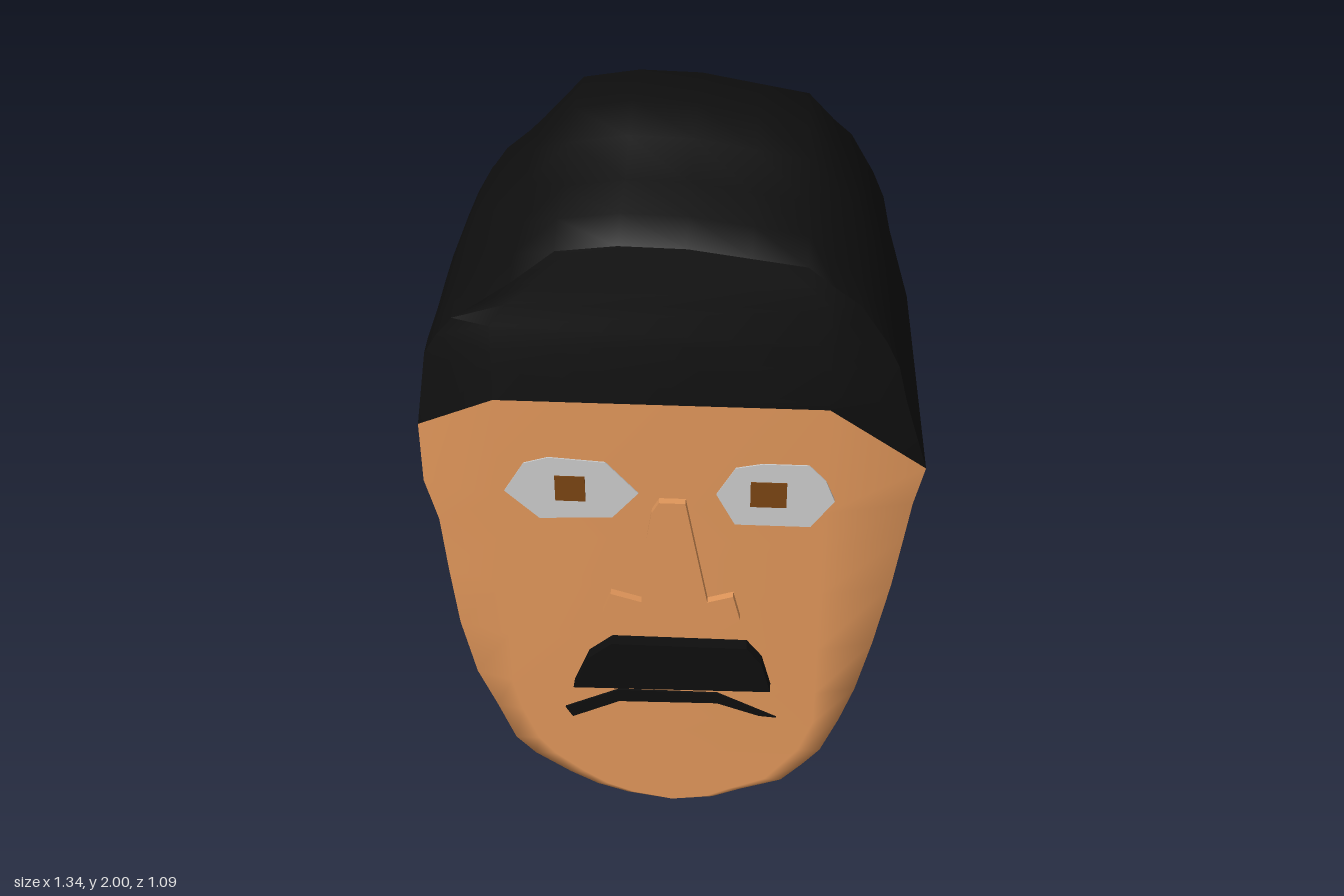
import * as THREE from 'three';
import { toCreasedNormals } from 'three/addons/utils/BufferGeometryUtils.js';

const SKIN = 0xe0965a, BLACK = 0x0e0e0e;
const mat = (color) => new THREE.MeshStandardMaterial({ color, roughness: 0.9 });

// depth positions along each side, with the crown height factor at each one
const SIDE = [[0.38, 0.78], [0.24, 0.82], [0.11, 0.93], [-0.02, 1], [-0.28, 0.97], [-0.4, 0.85]];
const HAIRLINE = 1.395;
const clamp = THREE.MathUtils.clamp;
const crown = (y, k) => (y > HAIRLINE ? HAIRLINE + (y - HAIRLINE) * k : y);

// front and back faces: flat in the middle, swept back toward the sides, tilted over the hair
function frontZ(x, y) {
  const over = x < 0 ? Math.max(0, -x - 0.455) / 0.215 : Math.max(0, x - 0.405) / 0.26;
  return 0.507 - 0.068 * over - 0.048 * clamp((y - 1.4) / 0.42, 0, 1);
}
function backZ(x, y) {
  return -0.545 + 0.045 * Math.max(0, x - 0.405) / 0.26 + 0.03 * clamp((y - 1.68) / 0.1, 0, 1);
}

// one horizontal ring; row = [left x, left y, right x, right y, optional middle y]
function ring([xl, yl, xr, yr, mid]) {
  const il = Math.max(-0.455, xl * 0.85), ir = Math.min(0.405, xr * 0.85);
  const yAt = (x) => mid ?? (xr - xl < 1e-4 ? yl : yl + (yr - yl) * (x - xl) / (xr - xl));
  const across = [[xl, yl], [il, yAt(il)], [ir, yAt(ir)], [xr, yr]];
  const front = across.map(([x, y]) => [x, crown(y, 0.7), frontZ(x, crown(y, 0.7))]);
  const back = across.map(([x, y]) => [x, crown(y, 0.77), backZ(x, crown(y, 0.77))]).reverse();
  const right = SIDE.map(([z, k]) => [xr, crown(yr, k), z]);
  const left = SIDE.map(([z, k]) => [xl, crown(yl, k), z]).reverse();
  return [...front, ...right, ...back, ...left];
}

// skin over rings listed from bottom to top
function loft(rows) {
  const rings = rows.map(ring), n = rings[0].length, index = [];
  for (let i = 0; i < rings.length - 1; i++) {
    for (let j = 0; j < n; j++) {
      const a = i * n + j, b = i * n + (j + 1) % n;
      index.push(a, b, b + n, a, b + n, a + n);
    }
  }
  const g = new THREE.BufferGeometry();
  g.setAttribute('position', new THREE.Float32BufferAttribute(rings.flat(2), 3));
  g.setIndex(index);
  g.computeVertexNormals();
  return g;
}

// flat outline pushed forward from z0 to z1
function plate(points, z0, z1) {
  const shape = new THREE.Shape(points.map(([x, y]) => new THREE.Vector2(x, y)));
  return new THREE.ExtrudeGeometry(shape, { depth: z1 - z0, bevelEnabled: false }).translate(0, 0, z0);
}

export function createModel() {
  const model = new THREE.Group();
  const add = (name, geometry, color) => {
    const mesh = new THREE.Mesh(geometry, mat(color));
    mesh.name = name;
    model.add(mesh);
  };
  const hairEdge = [-0.67, 1.27, 0.667, 1.18, HAIRLINE];

  // head from chin to hairline
  add('head', loft([
    [0, 0.003, 0, 0.003],
    [-0.13, 0.025, 0.12, 0.02],
    [-0.22, 0.055, 0.2, 0.055],
    [-0.3, 0.1, 0.32, 0.1],
    [-0.4, 0.17, 0.38, 0.165],
    [-0.455, 0.23, 0.43, 0.22],
    [-0.505, 0.34, 0.48, 0.33],
    [-0.56, 0.45, 0.52, 0.44],
    [-0.6, 0.62, 0.56, 0.6],
    [-0.62, 0.8, 0.6, 0.8],
    [-0.635, 0.97, 0.624, 0.96],
    [-0.67, 1.09, 0.64, 1.07],
    hairEdge,
  ]), SKIN);

  // hair cap from hairline to crown
  add('hair', toCreasedNormals(loft([
    hairEdge,
    [-0.635, 1.53, 0.6, 1.4],
    [-0.6, 1.61, 0.575, 1.54],
    [-0.555, 1.69, 0.54, 1.64],
    [-0.48, 1.77, 0.47, 1.79],
    [-0.4, 1.85, 0.405, 1.865],
    [-0.285, 1.975, 0.335, 1.94],
    [-0.13, 2, 0.2, 1.965],
    [0.04, 1.995, 0.04, 1.995],
  ]), 0.9), BLACK);

  // nose
  add('nose', plate([
    [-0.03, 1.105], [-0.05, 1.07], [-0.063, 0.99], [-0.08, 0.77], [-0.164, 0.795], [-0.187, 0.73],
    [-0.09, 0.657], [0.116, 0.66], [0.19, 0.72], [0.17, 0.8], [0.1, 0.777], [0.07, 0.94], [0.04, 1.105],
  ], 0.48, 0.53), SKIN);

  // moustache and mouth
  add('moustache', plate([
    [-0.275, 0.465], [0.28, 0.475], [0.253, 0.575], [0.21, 0.63], [-0.164, 0.63], [-0.23, 0.575],
  ], 0.48, 0.545), BLACK);
  add('mouth', plate([
    [-0.285, 0.325], [-0.15, 0.39], [0.13, 0.396], [0.25, 0.354], [0.3, 0.35], [0.13, 0.433],
    [-0.15, 0.433], [-0.305, 0.36],
  ], 0.49, 0.513), BLACK);

  // eyes and irises
  add('rightEye', plate([
    [-0.44, 1.115], [-0.35, 1.03], [-0.155, 1.04], [-0.085, 1.12], [-0.17, 1.215], [-0.32, 1.225],
    [-0.385, 1.205],
  ], 0.49, 0.511), 0xcccccc);
  add('leftEye', plate([
    [0.12, 1.125], [0.17, 1.03], [0.37, 1.03], [0.43, 1.115], [0.405, 1.178], [0.36, 1.225],
    [0.24, 1.225], [0.17, 1.21],
  ], 0.49, 0.511), 0xcccccc);
  for (const [name, x, w] of [['rightIris', -0.265, 0.08], ['leftIris', 0.257, 0.095]]) {
    add(name, new THREE.BoxGeometry(w, 0.078, 0.02).translate(x, 1.13, 0.504), 0x7a4412);
  }
  return model;
}
